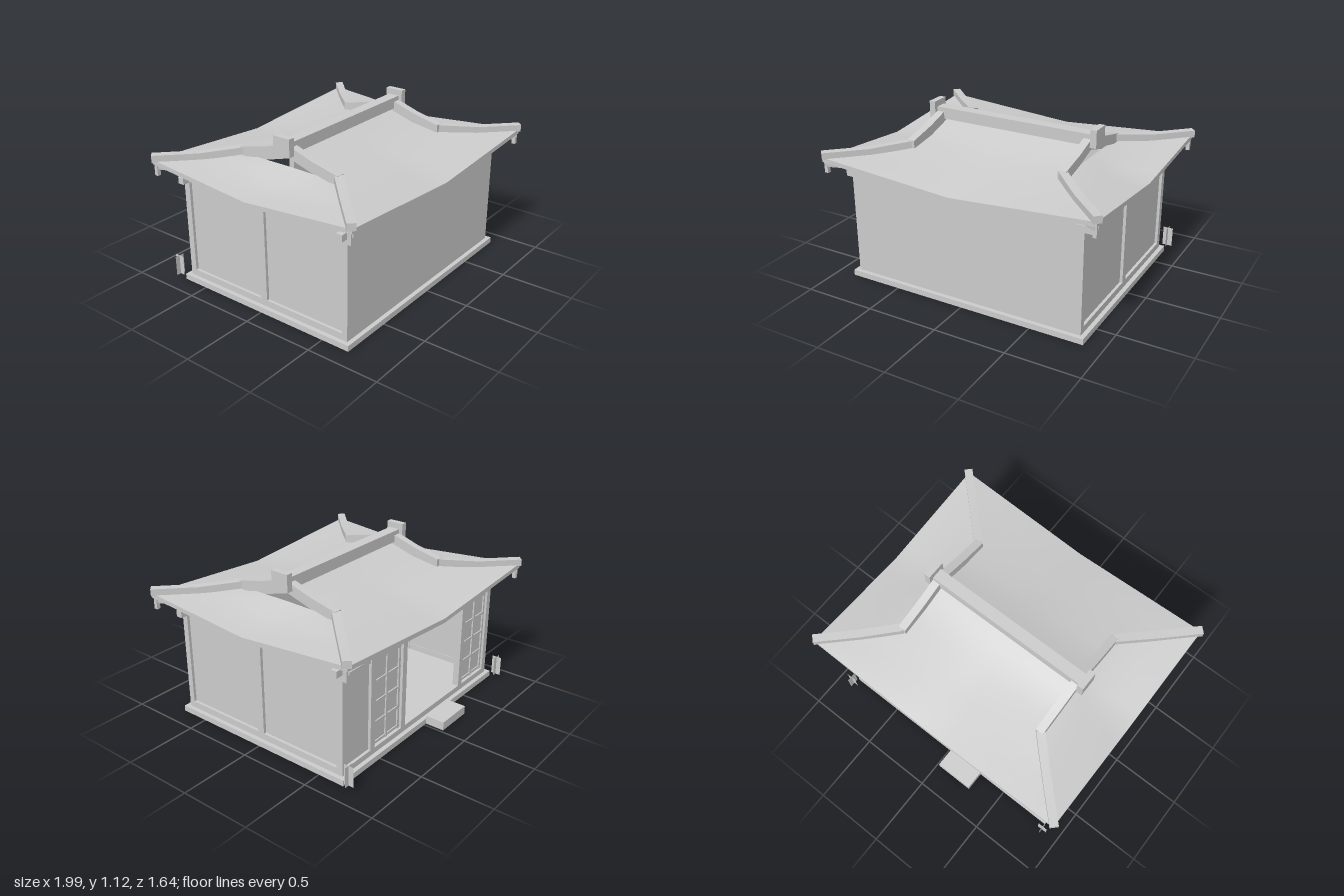
import * as THREE from 'three';
import { mergeGeometries } from 'three/addons/utils/BufferGeometryUtils.js';

const mat = new THREE.MeshStandardMaterial({ color: 0xcccccc });
const sheetMat = new THREE.MeshStandardMaterial({ color: 0xcccccc, side: THREE.DoubleSide });

// Box given by its min and max on each axis
function box(parent, name, x0, x1, y0, y1, z0, z1) {
  const m = new THREE.Mesh(new THREE.BoxGeometry(x1 - x0, y1 - y0, z1 - z0), mat);
  m.position.set((x0 + x1) / 2, (y0 + y1) / 2, (z0 + z1) / 2);
  m.name = name;
  parent.add(m);
  return m;
}

// Piecewise linear lookup over [t, value] pairs
function pick(table, t) {
  for (let i = 1; i < table.length; i++) {
    const [t0, a] = table[i - 1], [t1, b] = table[i];
    if (t <= t1) return a + (b - a) * (t - t0) / (t1 - t0);
  }
  return table[table.length - 1][1];
}

// Surface from a rule f(u, v) with u, v in 0..1
function grid(nu, nv, f) {
  const pos = [], idx = [];
  for (let j = 0; j <= nv; j++)
    for (let i = 0; i <= nu; i++) pos.push(...f(i / nu, j / nv));
  for (let j = 0; j < nv; j++)
    for (let i = 0; i < nu; i++) {
      const a = j * (nu + 1) + i, b = a + 1, c = a + nu + 1, d = c + 1;
      idx.push(a, c, b, b, c, d);
    }
  const g = new THREE.BufferGeometry();
  g.setAttribute('position', new THREE.Float32BufferAttribute(pos, 3));
  g.setIndex(idx);
  g.computeVertexNormals();
  return g;
}

// Roof sheet with thickness: top, underside and four rims
function slab(nu, nv, f, t = 0.03) {
  const low = (u, v) => { const p = f(u, v); return [p[0], p[1] - t, p[2]]; };
  const rim = (n, e) => grid(n, 1, (u, v) => (v ? low : f)(...e(u)));
  return mergeGeometries([
    grid(nu, nv, f), grid(nu, nv, (u, v) => low(1 - u, v)),
    rim(nu, u => [u, 1]), rim(nu, u => [1 - u, 0]),
    rim(nv, v => [0, v]), rim(nv, v => [1, 1 - v])
  ]);
}

// Bar of rectangular section whose centre line runs through the points
function bar(parent, name, points, w, h) {
  const pts = points.map(p => new THREE.Vector3(...p));
  const end = pts[pts.length - 1];
  const side = new THREE.Vector3(end.z - pts[0].z, 0, pts[0].x - end.x).setLength(w / 2);
  const corners = [[1, 1], [1, -1], [-1, -1], [-1, 1]];
  const at = (k, p) => {
    const [s, t] = corners[k % 4];
    return [p.x + s * side.x, p.y + t * h / 2, p.z + s * side.z];
  };
  const parts = corners.map((_, k) => grid(1, pts.length - 1,
    (u, v) => at(k + u, pts[Math.round(v * (pts.length - 1))])));
  for (const p of [pts[0], end])
    parts.push(grid(1, 1, (u, v) => at(v ? 3 - u : u, p)));
  const m = new THREE.Mesh(mergeGeometries(parts), sheetMat);
  m.name = name;
  parent.add(m);
}

function createRoof() {
  const roof = new THREE.Group();
  roof.name = 'roof';
  // Heights from ridge to eave, along the edges and along the middle
  const edge = [[0, 0.99], [0.25, 0.93], [0.5, 0.9], [0.75, 0.885], [1, 0.885]];
  const mid = [[0, 0.99], [0.25, 0.925], [0.5, 0.88], [1, 0.815]];
  const half = [[0, 0.555], [0.5, 0.555], [1, 0.97]];
  const main = (u, v) => {
    const s = 2 * u - 1, k = Math.abs(s), a = pick(mid, v);
    return [s * pick(half, v), a + (pick(edge, v) - a) * k, 0.8 * v];
  };
  const flank = (u, v) => {
    const s = 1 - 2 * u, k = Math.abs(s), a = 0.905 - 0.09 * v - 0.02 * Math.sin(Math.PI * v);
    return [0.555 + 0.415 * v, a + (pick(edge, 0.5 + v / 2) - a) * k, s * (0.4 + 0.4 * v)];
  };
  for (const [name, f, turn] of [['frontRoof', main, 0], ['backRoof', main, Math.PI],
    ['leftRoof', flank, 0], ['rightRoof', flank, Math.PI]]) {
    const m = new THREE.Mesh(slab(12, 8, f), sheetMat);
    m.rotation.y = turn;
    m.name = name;
    roof.add(m);
  }
  // Ridge and its end blocks
  box(roof, 'mainRidge', -0.58, 0.58, 1.0, 1.08, -0.04, 0.04);
  for (const s of [-1, 1]) {
    box(roof, 'ridgeEnd', s * 0.605 - 0.022, s * 0.605 + 0.022, 1.0, 1.12, -0.065, 0.065);
    for (const t of [-1, 1]) {
      // Gable ridges, corner ridges and corner rafters
      bar(roof, 'gableRidge', [[s * 0.555, 1.025, 0], [s * 0.555, 1.005, t * 0.07],
        [s * 0.555, 0.963, t * 0.2], [s * 0.555, 0.917, t * 0.4]], 0.055, 0.07);
      bar(roof, 'cornerRidge', [[s * 0.56, 0.927, t * 0.39], [s * 0.76, 0.9, t * 0.59],
        [s * 0.975, 0.9, t * 0.8]], 0.055, 0.048);
      bar(roof, 'cornerRafter', [[s * 0.8, 0.8, t * 0.64], [s * 0.96, 0.84, t * 0.785]], 0.03, 0.03);
      box(roof, 'rafterTip', s * 0.954 - 0.013, s * 0.954 + 0.013, 0.78, 0.855,
        t * 0.777 - 0.013, t * 0.777 + 0.013);
    }
  }
  return roof;
}

// Door with a thin lattice over a panel on the back wall
function latticeDoor(parent, x0, x1) {
  const door = new THREE.Group();
  door.name = 'latticeDoor';
  parent.add(door);
  box(door, 'doorPanel', x0, x1, 0.08, 0.69, -0.635, -0.62);
  for (const x of [x0 + 0.015, (x0 + x1) / 2, x1 - 0.015])
    box(door, 'upright', x - 0.009, x + 0.009, 0.08, 0.69, -0.645, -0.63);
  for (let i = 0; i <= 4; i++) {
    const y = 0.095 + i * 0.145;
    box(door, 'crossbar', x0, x1, y - 0.009, y + 0.009, -0.643, -0.63);
  }
}

export function createModel() {
  const model = new THREE.Group();
  model.name = 'house';

  // Floor and entrance step
  box(model, 'floor', -0.87, 0.87, 0, 0.04, -0.69, 0.7);
  box(model, 'entranceStep', -0.29, -0.02, 0, 0.06, -0.825, -0.69);

  // Front wall and the long beams
  box(model, 'frontWall', -0.84, 0.84, 0.04, 0.735, 0.63, 0.67);
  box(model, 'frontBeam', -0.89, 0.89, 0.73, 0.775, 0.625, 0.67);
  box(model, 'backBeam', -0.89, 0.89, 0.73, 0.775, -0.66, -0.615);

  // Side walls with recessed panels
  for (const s of [-1, 1]) {
    const side = new THREE.Group();
    side.name = 'sideWall';
    model.add(side);
    const at = (name, a, b, y0, y1, z0, z1) =>
      box(side, name, Math.min(s * a, s * b), Math.max(s * a, s * b), y0, y1, z0, z1);
    at('sidePanel', 0.805, 0.82, 0.04, 0.75, -0.64, 0.65);
    at('sideSill', 0.8, 0.84, 0.04, 0.085, -0.66, 0.67);
    at('sideBeam', 0.8, 0.84, 0.735, 0.775, -0.66, 0.67);
    for (const [z0, z1] of [[-0.66, -0.615], [-0.02, 0.03], [0.63, 0.67]])
      at('sidePost', 0.795, 0.84, 0.04, 0.735, z0, z1);
    // Crossed plates beside the back corners
    for (const turn of [0, Math.PI / 2]) {
      const plate = new THREE.Mesh(new THREE.PlaneGeometry(0.07, 0.14), sheetMat);
      plate.position.set(s * 0.875, 0.1, -0.735);
      plate.rotation.y = turn;
      plate.name = 'cornerPlate';
      model.add(plate);
    }
  }

  // Back wall: posts, rails, plain panel, lattice doors and open bay
  const back = new THREE.Group();
  back.name = 'backWall';
  model.add(back);
  for (const x of [0.54, 0.21, -0.49])
    box(back, 'backPost', x - 0.022, x + 0.022, 0.04, 0.735, -0.66, -0.615);
  box(back, 'backSill', -0.84, 0.84, 0.04, 0.08, -0.66, -0.615);
  box(back, 'backRail', -0.84, 0.84, 0.69, 0.715, -0.655, -0.62);
  box(back, 'upperPanel', -0.82, 0.82, 0.7, 0.74, -0.645, -0.63);
  box(back, 'plainPanel', 0.56, 0.8, 0.07, 0.7, -0.64, -0.62);
  latticeDoor(back, 0.232, 0.518);
  latticeDoor(back, -0.8, -0.512);
  box(back, 'doorBoard', -0.25, -0.08, 0.715, 0.785, -0.68, -0.66);

  model.add(createRoof());
  return model;
}
